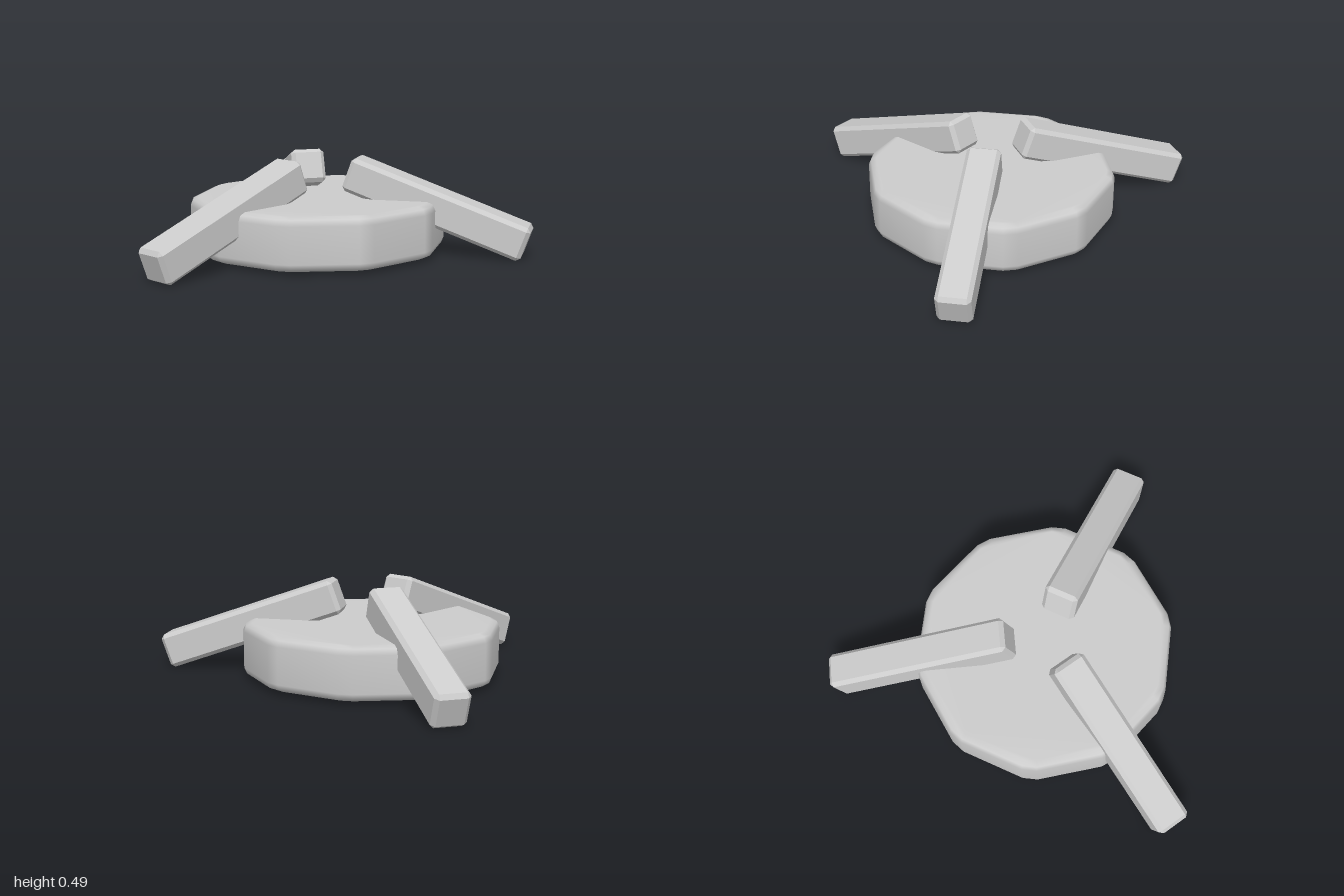
import * as THREE from 'three';
import { mergeVertices } from 'three/addons/utils/BufferGeometryUtils.js';
import { ConvexGeometry } from 'three/addons/geometries/ConvexGeometry.js';

const CENTRE_X = -0.242;

// Ten-sided puck with clipped corners and rounded rims
function discGeometry() {
  const apothem = 0.634, sides = 10, bevel = 0.042, height = 0.27;
  const halfSide = apothem * Math.tan(Math.PI / sides) - 0.04;
  const points = [];
  for (let i = 0; i < sides; i++) {
    const a = (i / sides) * Math.PI * 2;
    for (const s of [-halfSide, halfSide]) {
      points.push(new THREE.Vector2(
        apothem * Math.cos(a) - s * Math.sin(a),
        apothem * Math.sin(a) + s * Math.cos(a)));
    }
  }
  const extruded = new THREE.ExtrudeGeometry(new THREE.Shape(points), {
    depth: height - 2 * bevel, bevelEnabled: true, bevelSegments: 2,
    bevelSize: bevel, bevelThickness: bevel, bevelOffset: -bevel,
  });
  extruded.rotateX(-Math.PI / 2);
  extruded.translate(0, 0.016 + bevel, 0);
  // Shared vertices give area-weighted smooth normals: flat faces, soft rims
  extruded.deleteAttribute('uv');
  extruded.deleteAttribute('normal');
  extruded.clearGroups();
  const smooth = mergeVertices(extruded, 1e-4);
  smooth.computeVertexNormals();
  return smooth;
}

// Square beam with every edge chamfered
function beamGeometry(length, height, width, c) {
  const half = [length / 2, height / 2, width / 2];
  const points = [];
  for (const sx of [-1, 1]) for (const sy of [-1, 1]) for (const sz of [-1, 1]) {
    for (let full = 0; full < 3; full++) {
      const p = half.map((h, axis) => (axis === full ? h : h - c));
      points.push(new THREE.Vector3(sx * p[0], sy * p[1], sz * p[2]));
    }
  }
  return new ConvexGeometry(points);
}

export function createModel() {
  const model = new THREE.Group();
  model.name = 'threeArmedDisc';
  const grey = new THREE.MeshStandardMaterial({ color: 0xcccccc });
  grey.name = 'light grey';

  const disc = new THREE.Mesh(discGeometry(), grey);
  disc.name = 'disc';
  disc.position.x = CENTRE_X;
  model.add(disc);

  // Three sloping arms, evenly spaced around the disc
  const armShape = beamGeometry(0.975, 0.18, 0.177, 0.02);
  for (let i = 0; i < 3; i++) {
    const pivot = new THREE.Group();
    pivot.name = `arm${i + 1}`;
    pivot.position.x = CENTRE_X;
    pivot.rotation.y = (i * Math.PI * 2) / 3;
    const beam = new THREE.Mesh(armShape, grey);
    beam.name = 'armBeam';
    beam.position.set(0.63, 0.246, 0);
    beam.rotation.z = THREE.MathUtils.degToRad(-20);
    pivot.add(beam);
    model.add(pivot);
  }
  return model;
}
